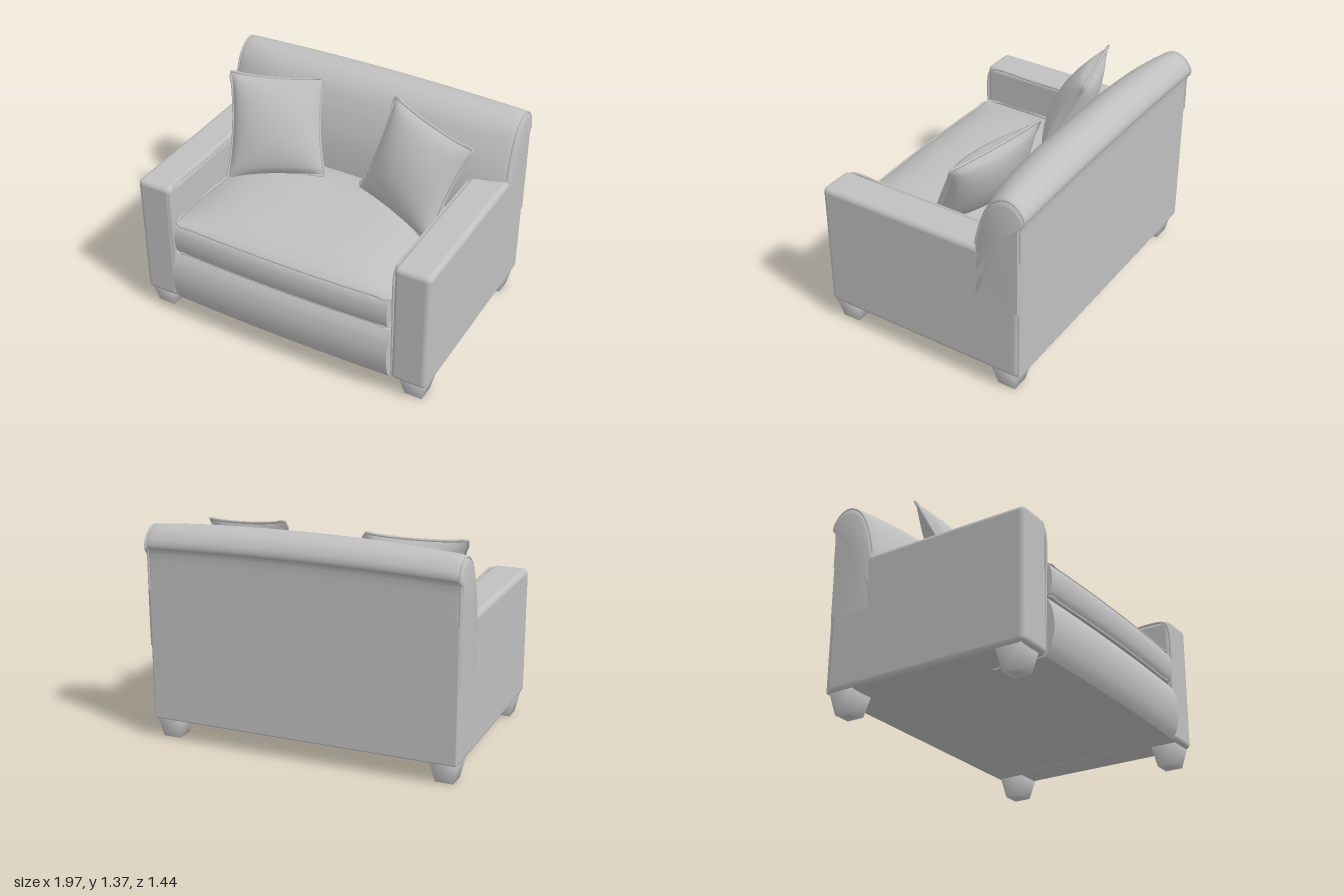
import * as THREE from 'three';
import { mergeVertices, toCreasedNormals } from 'three/addons/utils/BufferGeometryUtils.js';
import { RoundedBoxGeometry } from 'three/addons/geometries/RoundedBoxGeometry.js';

export function createModel() {
  const root = new THREE.Group();
  const fabric = new THREE.MeshStandardMaterial({ color: 0xc0c0c0 });
  fabric.name = 'grey fabric';

  const add = (name, geometry, x = 0, y = 0, z = 0) => {
    const mesh = new THREE.Mesh(geometry, fabric);
    mesh.name = name;
    mesh.position.set(x, y, z);
    root.add(mesh);
    return mesh;
  };
  const rounded = (name, x0, x1, y0, y1, z0, z1, r) =>
    add(name, new RoundedBoxGeometry(x1 - x0, y1 - y0, z1 - z0, 4, r), (x0 + x1) / 2, (y0 + y1) / 2, (z0 + z1) / 2);
  const piping = (name, points, radius, closed) =>
    add(name, new THREE.TubeGeometry(new THREE.CatmullRomCurve3(points, closed), 64, radius, 6, closed));

  // Moves every vertex by a rule
  const reshape = (geometry, rule) => {
    const p = geometry.attributes.position;
    const v = new THREE.Vector3();
    for (let i = 0; i < p.count; i++) {
      rule(v.fromBufferAttribute(p, i));
      p.setXYZ(i, v.x, v.y, v.z);
    }
    return geometry;
  };

  // Arms, lower back and base
  for (const s of [-1, 1]) {
    const [a, b] = s > 0 ? [0.75, 0.985] : [-0.985, -0.75];
    rounded(s > 0 ? 'leftArm' : 'rightArm', a, b, 0.125, 0.955, -0.685, 0.67, 0.035);
    // Seam on the inner front edge of the arm
    piping('armPiping', [[0.15, 0.655], [0.5, 0.662], [0.9, 0.658], [0.94, 0.63], [0.945, 0.3], [0.945, -0.3]]
      .map(([y, z]) => new THREE.Vector3(s * 0.757, y, z)), 0.008, false);
  }
  rounded('lowerBack', -0.975, 0.975, 0.13, 1.0, -0.69, -0.46, 0.012);
  rounded('base', -0.77, 0.77, 0.135, 0.49, -0.66, 0.64, 0.01);

  // Puffed fabric block with a bulging front and an optional crown
  const puffed = (name, w, y0, y1, z0, z1, bow, bulge, crown) => {
    const g = new THREE.BoxGeometry(2, 2, 2, 32, 10, 24);
    reshape(g, (v) => {
      const { x: u, y: t, z: q } = v;
      const front = Math.max(0, q);
      const soft = 0.012 * (Math.pow(Math.abs(t), 8) * Math.pow(Math.abs(q), 8));
      v.x = u * w;
      v.y = (y0 + y1) / 2 + t * (y1 - y0) / 2 + Math.max(0, t) * crown * (1 - u ** 4) * (1 - q ** 4);
      v.z = (z0 + z1) / 2 + q * (z1 - z0) / 2
        + front ** 4 * (bow * (1 - u * u) + bulge * (1 - t * t)) - Math.sign(q) * soft;
    });
    g.deleteAttribute('uv');
    return add(name, toCreasedNormals(g, 0.8));
  };
  puffed('frontPanel', 0.745, 0.125, 0.485, 0.3, 0.665, 0.015, 0.045, 0);
  puffed('seatCushion', 0.728, 0.495, 0.705, -0.36, 0.665, 0.02, 0.022, 0.085);

  // Piping along the cushion's front edges
  for (const y of [0.5, 0.702]) {
    const points = [new THREE.Vector3(-0.726, y, -0.2)];
    for (let i = -8; i <= 8; i++) {
      const u = i / 8;
      points.push(new THREE.Vector3(u * 0.726, y, 0.655 + 0.02 * (1 - u * u)));
    }
    points.push(new THREE.Vector3(0.726, y, -0.2));
    piping('cushionPiping', points, 0.008, false);
  }

  // Rolled backrest, lofted along x; each entry is z, y
  const outline = new THREE.SplineCurve([
    [-0.27, 0.6], [-0.275, 0.8], [-0.295, 0.97], [-0.33, 1.1], [-0.37, 1.2], [-0.42, 1.285], [-0.495, 1.345],
    [-0.58, 1.365], [-0.66, 1.34], [-0.707, 1.285], [-0.714, 1.235], [-0.69, 1.19], [-0.69, 0.95], [-0.69, 0.6],
  ].map(([z, y]) => new THREE.Vector2(z, y))).getPoints(52);
  const backRing = (x, inset) => {
    const f = Math.min(1, Math.abs(x) / 0.98) ** 4;
    return outline.map((p) => {
      const forward = Math.max(0, (p.x + 0.69) / 0.42);
      const high = THREE.MathUtils.clamp((p.y - 0.95) / 0.4, 0, 1);
      const z = p.x - f * 0.11 * forward;
      const y = p.y - high * 0.03 * (x / 0.98) ** 2;
      return new THREE.Vector3(x, y - (y - 0.95) * high * inset * 2, z - (z + 0.58) * inset * 2);
    });
  };
  const stations = [[-0.985, 0.06], [-0.978, 0.025], [-0.96, 0.004]];
  for (let i = -15; i <= 15; i++) stations.push([i * 0.0625, 0]);
  stations.push([0.96, 0.004], [0.978, 0.025], [0.985, 0.06]);
  const rings = stations.map(([x, inset]) => backRing(x, inset));
  const n = outline.length;
  const verts = rings.flat().flatMap((p) => [p.x, p.y, p.z]);
  const faces = [];
  for (let i = 0; i < rings.length - 1; i++) {
    for (let j = 0; j < n; j++) {
      const a = i * n + j, b = i * n + (j + 1) % n;
      faces.push(a, a + n, b, b, a + n, b + n);
    }
  }
  for (const [start, flip] of [[0, false], [(rings.length - 1) * n, true]]) {
    const centre = verts.length / 3;
    verts.push(verts[start * 3], 1.05, -0.56);
    for (let j = 0; j < n; j++) {
      const a = start + j, b = start + (j + 1) % n;
      faces.push(centre, flip ? b : a, flip ? a : b);
    }
  }
  const back = new THREE.BufferGeometry();
  back.setAttribute('position', new THREE.Float32BufferAttribute(verts, 3));
  back.setIndex(faces);
  add('backrest', toCreasedNormals(back, 0.7));
  for (const s of [-1, 1]) {
    piping('backrestEndPiping', backRing(s * 0.97, 0.012).filter((p) => p.y > 0.94), 0.008, false);
  }

  // Throw pillows: two bulged sheets between four corners, with a piped seam
  const pillow = (name, corners) => {
    const [tl, tr, br, bl] = corners.map((c) => new THREE.Vector3(...c));
    const right = tr.clone().sub(tl).add(br).sub(bl);
    const up = tl.clone().sub(bl).add(tr).sub(br);
    const normal = right.cross(up).normalize();
    const place = (u, v, side) => {
      const a = u * (1 - 0.09 * (1 - v * v)), b = v * (1 - 0.06 * (1 - u * u));
      const top = tl.clone().lerp(tr, (a + 1) / 2);
      const bottom = bl.clone().lerp(br, (a + 1) / 2);
      const puff = 0.12 * Math.pow(Math.max(0, (1 - u * u) * (1 - v * v)), 0.55);
      return bottom.lerp(top, (b + 1) / 2).addScaledVector(normal, side * puff);
    };
    for (const side of [1, -1]) {
      const g = reshape(new THREE.PlaneGeometry(2, 2, 24, 24), (v) => v.copy(place(v.x * side, v.y, side)));
      g.computeVertexNormals();
      add(name + (side > 0 ? 'Front' : 'Back'), g);
    }
    const seam = [];
    for (const [u0, v0, u1, v1] of [[-1, 1, 1, 1], [1, 1, 1, -1], [1, -1, -1, -1], [-1, -1, -1, 1]]) {
      for (let i = 0; i < 8; i++) seam.push(place(u0 + (u1 - u0) * i / 8, v0 + (v1 - v0) * i / 8, 0));
    }
    piping(name + 'Piping', seam, 0.009, true);
  };
  pillow('rightPillow', [[-0.85, 1.31, -0.19], [-0.27, 1.34, -0.35], [-0.14, 0.79, -0.13], [-0.72, 0.71, 0.1]]);
  pillow('leftPillow', [[0.23, 1.36, -0.35], [0.84, 1.28, -0.15], [0.71, 0.73, 0.12], [0.1, 0.78, -0.14]]);

  // Tapered square feet with soft shading
  for (const x of [-0.885, 0.885]) {
    for (const z of [-0.58, 0.56]) {
      let foot = new THREE.CylinderGeometry(0.122, 0.08, 0.14, 4).rotateY(Math.PI / 4);
      foot.deleteAttribute('uv');
      foot.deleteAttribute('normal');
      foot = mergeVertices(foot);
      foot.computeVertexNormals();
      add('foot', foot, x, 0.07, z);
    }
  }
  return root;
}
